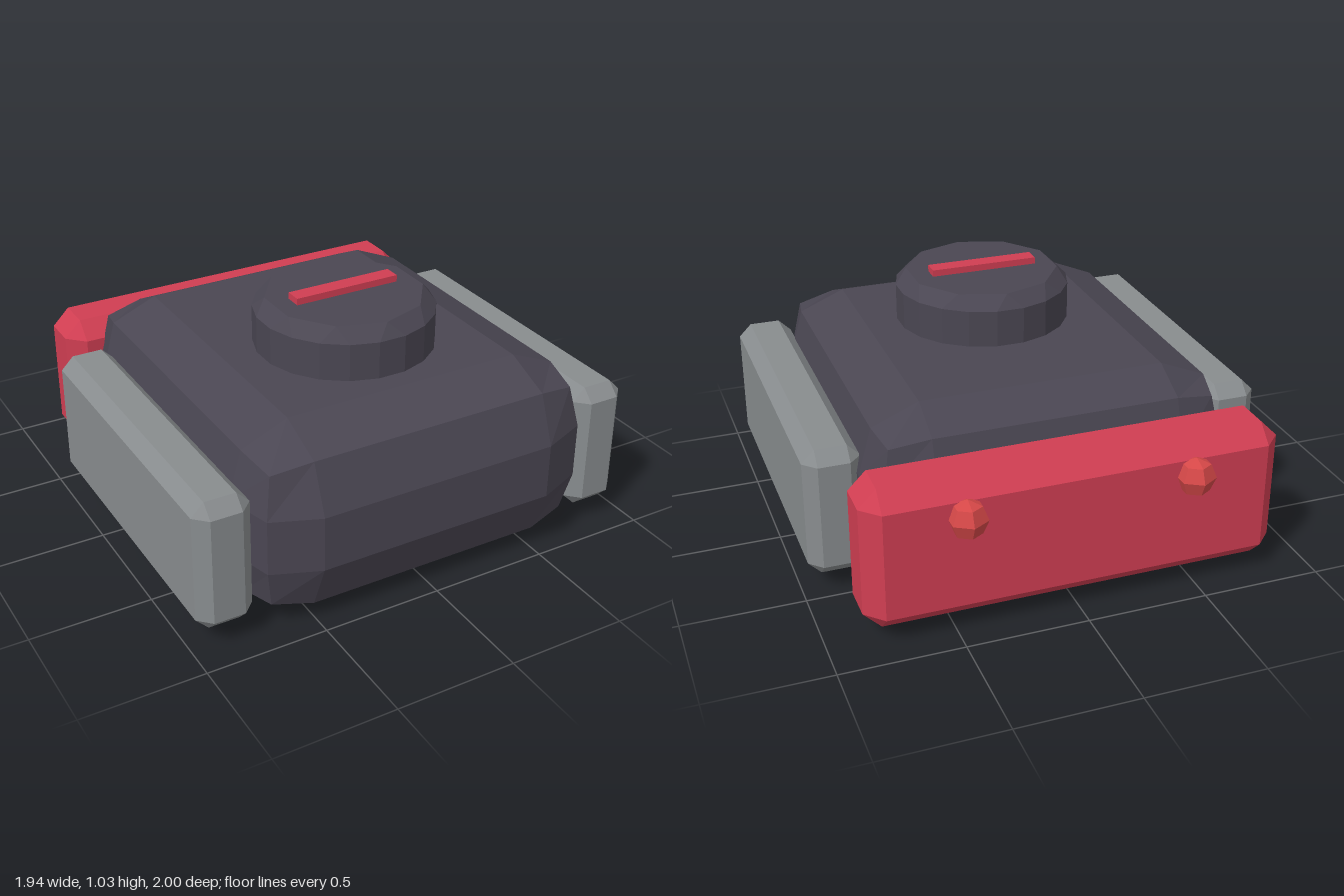
import * as THREE from 'three';

const mat = (name, color) => {
  const m = new THREE.MeshStandardMaterial({ color });
  m.name = name;
  return m;
};

// Give every face its own flat normal
function flat(geometry) {
  const g = geometry.toNonIndexed();
  g.computeVertexNormals();
  return g;
}

// Box from min to max whose edges are cut back by bevel(axis, sign).
// edge / corner: how far vertices reach into the bevel on edges and corners, per axis.
function bevelBox(min, max, bevel, edge, corner) {
  const g = new THREE.BoxGeometry(2, 2, 2, 3, 3, 3);
  const p = g.attributes.position;
  for (let i = 0; i < p.count; i++) {
    const v = [p.getX(i), p.getY(i), p.getZ(i)];
    const outer = v.filter((c) => Math.abs(c) > 0.9).length;
    const out = v.map((c, a) => {
      const s = Math.sign(c);
      const r = bevel(a, s);
      let reach = 0;
      if (Math.abs(c) > 0.9) reach = outer === 1 ? 1 : outer === 2 ? edge[a] : corner[a];
      return (s > 0 ? max[a] : min[a]) - s * r * (1 - reach);
    });
    p.setXYZ(i, ...out);
  }
  return flat(g);
}

const chamferBox = (min, max, r) =>
  bevelBox(min, max, () => r, [0.5, 0.5, 0.5], [1 / 3, 1 / 3, 1 / 3]);

// Twenty-sided drum whose side corners merge in pairs to a ten-sided top
function drumGeometry() {
  const g = new THREE.CylinderGeometry(0.372, 0.372, 2, 20, 2, false, Math.PI / 20);
  const p = g.attributes.position;
  const step = Math.PI / 5;
  for (let i = 0; i < p.count; i++) {
    const y = p.getY(i);
    const x = p.getX(i), z = p.getZ(i);
    if (y > 0.5) {
      const a = Math.round(Math.atan2(x, z) / step) * step;
      const r = Math.hypot(x, z) > 0.01 ? 0.325 : 0;
      p.setXYZ(i, Math.sin(a) * r, 1.0, Math.cos(a) * r);
    } else {
      p.setY(i, y < -0.5 ? 0.7 : 0.945);
    }
  }
  return flat(g);
}

export function createModel() {
  const group = new THREE.Group();
  const dark = mat('dark body', 0x4a4652);
  const grey = mat('grey panel', 0x888c8e);
  const red = mat('red trim', 0xd03e52);
  const knobRed = mat('knob red', 0xd64848);

  const add = (name, geometry, material, x = 0, y = 0, z = 0) => {
    const mesh = new THREE.Mesh(geometry, material);
    mesh.name = name;
    mesh.position.set(x, y, z);
    group.add(mesh);
  };

  // Main body with two-step rounded edges
  const bodyBevel = (axis, s) => (axis === 0 ? 0.25 : axis === 1 ? 0.28 : s > 0 ? 0.28 : 0.23);
  add('body', bevelBox([-0.76, 0, -0.71], [0.76, 0.79, 1], bodyBevel,
    [0.78, 0.71, 0.72], [0.66, 0.6, 0.6]), dark);

  // Turret and its raised bar
  add('turret', drumGeometry(), dark, 0, 0, 0.262);
  add('turretBar', flat(new THREE.BoxGeometry(0.46, 0.05, 0.07)), red, 0, 1.003, 0.255);

  // Side panels
  add('leftPanel', chamferBox([0.735, 0.07, -0.48], [0.97, 0.625, 0.9], 0.053), grey);
  add('rightPanel', chamferBox([-0.97, 0.07, -0.48], [-0.735, 0.625, 0.9], 0.053), grey);

  // Rear plate with two small knobs
  add('rearPlate', chamferBox([-0.855, 0.05, -0.908], [0.855, 0.65, -0.615], 0.073), red);
  for (const s of [1, -1]) {
    const ball = new THREE.SphereGeometry(0.081, 6, 4);
    ball.rotateY(Math.PI / 6);
    add(s > 0 ? 'leftKnob' : 'rightKnob', flat(ball), knobRed, s * 0.463, 0.51, -0.919);
  }
  return group;
}
